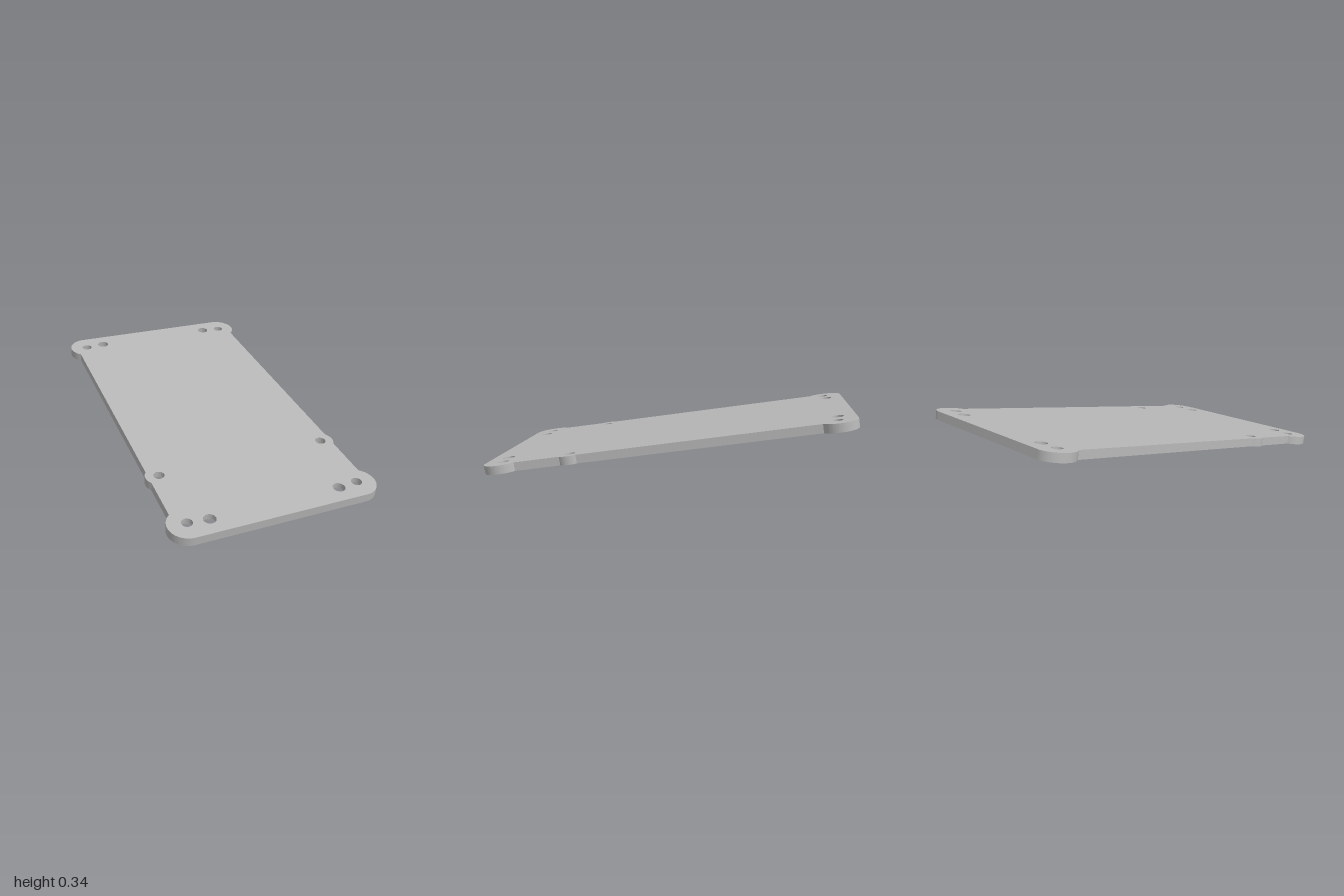
import * as THREE from 'three';
import { mergeGeometries, toCreasedNormals } from 'three/addons/utils/BufferGeometryUtils.js';

const T = 0.0475;          // plate thickness
const STEP = 0.022;        // counterbore depth from the underside
const TILT = 0.148;        // slope, rising to the back
const W = 0.537;           // half width of the straight edges
const EAR = { x: 0.473, y: 0.9035, r: 0.104 };
const TAB = { x: 0.48, y: -0.522, r: 0.073 };

// hole position (front is -y in the flat shape), bore and counterbore radius
const HOLES = [];
for (const s of [-1, 1]) {
  for (const e of [-1, 1]) {
    HOLES.push({ x: s * 0.475, y: e * 0.9, r: 0.029, big: 0.044 });
    HOLES.push({ x: s * 0.362, y: e * 0.911, r: 0.033, big: 0.049 });
  }
  HOLES.push({ x: s * 0.48, y: -0.522, r: 0.029, big: 0.044 });
}

// Outline with a round ear at each corner and a small tab on each side
function outline() {
  const s = new THREE.Shape();
  const a = Math.acos((W - EAR.x) / EAR.r);
  const b = Math.acos((W - TAB.x) / TAB.r);
  const P = Math.PI;
  s.absarc(EAR.x, -EAR.y, EAR.r, -P / 2, a);
  s.absarc(TAB.x, TAB.y, TAB.r, -b, b);
  s.absarc(EAR.x, EAR.y, EAR.r, -a, P / 2);
  s.absarc(-EAR.x, EAR.y, EAR.r, P / 2, P + a);
  s.absarc(-TAB.x, TAB.y, TAB.r, P - b, P + b);
  s.absarc(-EAR.x, -EAR.y, EAR.r, P - a, 1.5 * P);
  s.closePath();
  return s;
}

function circle(h, r) {
  return new THREE.Path().absarc(h.x, h.y, r, 0, Math.PI * 2, true);
}

function drilled(key) {
  const s = outline();
  for (const h of HOLES) s.holes.push(circle(h, h[key]));
  return s;
}

// Only the side walls of an extruded shape, from height z0 to z1
function walls(shape, z0, z1) {
  const g = new THREE.ExtrudeGeometry(shape, { depth: z1 - z0, bevelEnabled: false, curveSegments: 32 });
  const { start, count } = g.groups.find((q) => q.materialIndex === 1);
  const out = new THREE.BufferGeometry();
  for (const n of ['position', 'normal', 'uv']) {
    const at = g.attributes[n];
    const k = at.itemSize;
    out.setAttribute(n, new THREE.BufferAttribute(at.array.slice(start * k, (start + count) * k), k));
  }
  return toCreasedNormals(out.translate(0, 0, z0), 0.6);
}

// Flat face at height z, facing up or down
function face(shape, z, down) {
  const g = new THREE.ShapeGeometry(shape, 32).toNonIndexed();
  if (down) g.rotateY(Math.PI);
  return g.translate(0, 0, z);
}

export function createModel() {
  const model = new THREE.Group();
  const grey = new THREE.MeshStandardMaterial({ color: 0xb8b8b8 });
  grey.name = 'plate grey';

  const plate = new THREE.Group();
  plate.name = 'mountingPlate';
  const add = (name, parts) => {
    const mesh = new THREE.Mesh(mergeGeometries(parts).rotateX(-Math.PI / 2), grey);
    mesh.name = name;
    plate.add(mesh);
  };

  const bottom = -T / 2, top = T / 2, ledge = bottom + STEP;
  add('topFace', [face(drilled('r'), top, false)]);
  add('underside', [face(drilled('big'), bottom, true)]);

  // outer rim and hole walls, in two layers
  add('upperWalls', [walls(drilled('r'), ledge, top)]);
  add('lowerWalls', [walls(drilled('big'), bottom, ledge)]);

  // ring-shaped ledges inside the counterbores
  add('counterboreLedges', HOLES.map((h) => {
    const ring = new THREE.RingGeometry(h.r, h.big, 64).toNonIndexed();
    return ring.rotateY(Math.PI).translate(h.x, h.y, ledge);
  }));

  // tilt and set the front lower edge on the ground
  plate.rotation.x = TILT;
  plate.position.y = (EAR.y + EAR.r) * Math.sin(TILT) + (T / 2) * Math.cos(TILT);
  model.add(plate);
  return model;
}
